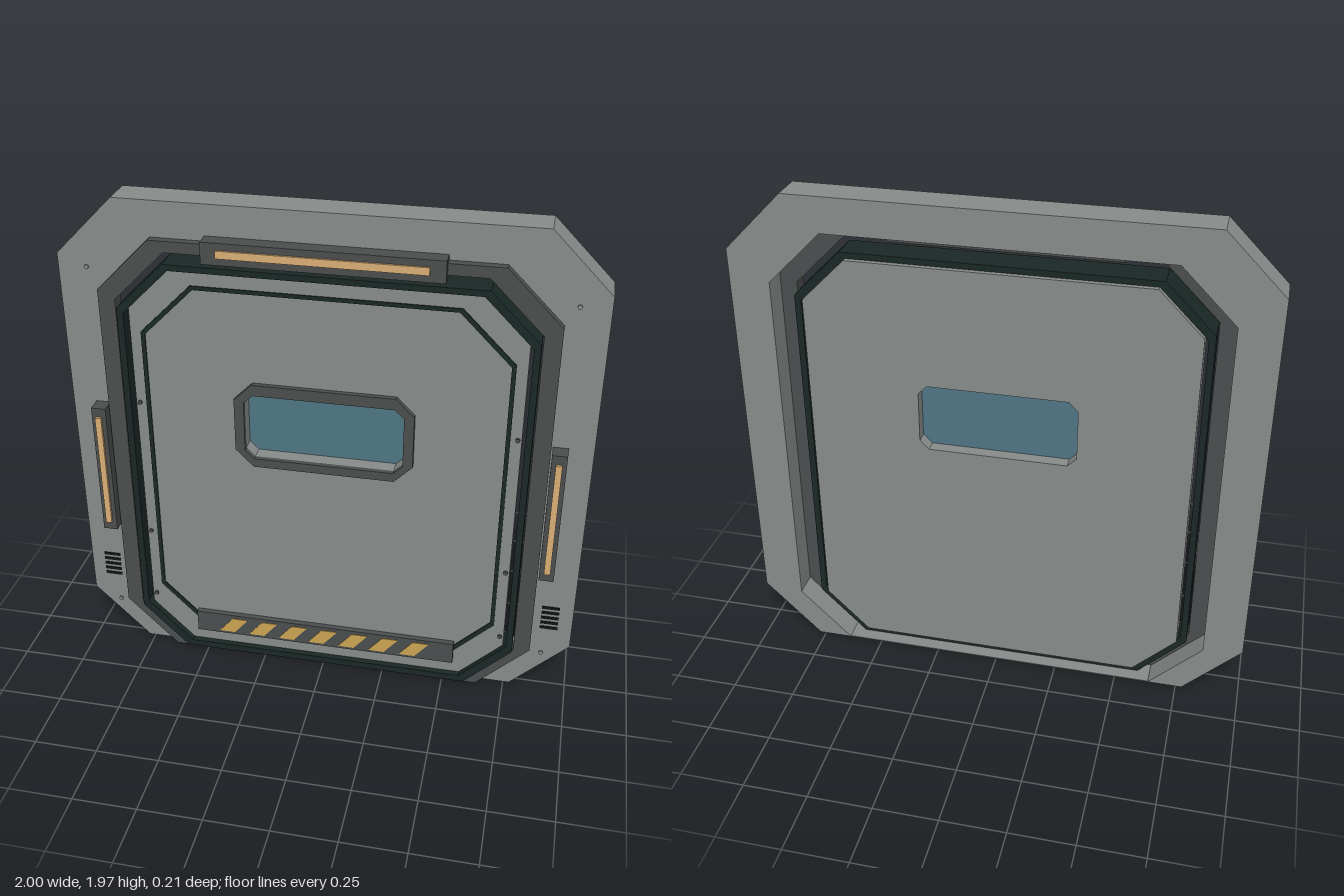
import * as THREE from 'three';

const mat = (name, color) => {
  const m = new THREE.MeshStandardMaterial({ color });
  m.name = name;
  return m;
};

// Octagon with chamfered corners, counter-clockwise seen from the front
const oct = (w, bottom, top, cut) => [
  [w, bottom + cut], [w, top - cut], [w - cut, top], [cut - w, top],
  [-w, top - cut], [-w, bottom + cut], [cut - w, bottom], [w - cut, bottom],
];
const at = (pts, z) => pts.map(([x, y]) => [x, y, z]);
const vec = pts => pts.map(([x, y]) => new THREE.Vector2(x, y));

// Flat-faced skin through a sequence of rings
function loft(rings) {
  const pos = [];
  for (let r = 0; r + 1 < rings.length; r++) {
    const a = rings[r], b = rings[r + 1];
    for (let i = 0; i < a.length; i++) {
      const j = (i + 1) % a.length;
      pos.push(...a[i], ...a[j], ...b[j], ...a[i], ...b[j], ...b[i]);
    }
  }
  const g = new THREE.BufferGeometry();
  g.setAttribute('position', new THREE.Float32BufferAttribute(pos, 3));
  g.computeVertexNormals();
  return g;
}

// Extruded plate between two depths, with an optional hole
function plate(outline, z0, z1, hole) {
  const s = new THREE.Shape(vec(outline));
  if (hole) s.holes.push(new THREE.Path(vec(hole)));
  return new THREE.ExtrudeGeometry(s, { depth: z1 - z0, bevelEnabled: false }).translate(0, 0, z0);
}

// Arch open at the floor: octagon ring without its bottom side
const arch = (outer, inner) => {
  const order = p => [7, 0, 1, 2, 3, 4, 5, 6].map(i => p[i]);
  return [...order(outer), ...order(inner).reverse()];
};

function box(x0, x1, y0, y1, z0, z1) {
  return new THREE.BoxGeometry(x1 - x0, y1 - y0, z1 - z0)
    .translate((x0 + x1) / 2, (y0 + y1) / 2, (z0 + z1) / 2);
}

export function createModel() {
  const model = new THREE.Group();
  model.name = 'bulkheadDoor';
  const grey = mat('panel grey', 0x888d8b);
  const dark = mat('dark grey metal', 0x4c4f4f);
  const rubber = mat('rubber seal', 0x1a2826);
  const glass = mat('window glass', 0x4f7785);
  const amber = mat('lamp amber', 0xdcb076);
  const yellow = mat('hazard yellow', 0xceA655);
  const black = mat('vent black', 0x121615);

  const add = (name, geometry, material) => {
    const m = new THREE.Mesh(geometry, material);
    m.name = name;
    model.add(m);
    return m;
  };

  // Surrounding frame, floor sill and dark inner trim
  const frameOut = oct(1, 0, 1.965, 0.225);
  const trimOut = oct(0.845, 0, 1.828, 0.207);
  const trimIn = oct(0.78, 0, 1.785, 0.198);
  add('frame', plate(arch(frameOut, trimOut), -0.103, 0.03), grey);
  add('floorSill', box(-0.638, 0.638, 0, 0.004, -0.103, 0.03), grey);
  add('frameTrim', plate(arch(trimOut, trimIn), 0, 0.062), dark);

  // Door seal
  add('doorSeal', plate(oct(0.775, 0.005, 1.743, 0.187), -0.05, 0.07,
    oct(0.75, 0.033, 1.72, 0.182)), rubber);

  // Door leaf: a thick slab with a straight window opening
  const rim = oct(0.305, 0.97, 1.243, 0.035);
  const surround = oct(0.343, 0.934, 1.288, 0.07);
  const edge = oct(0.737, 0.033, 1.72, 0.17);
  add('doorLeaf', loft([
    at(rim, -0.01), at(rim, -0.07), at(edge, -0.07),
    at(edge, 0.045), at(rim, 0.045), at(rim, -0.02),
  ]), grey);
  add('doorGroove', plate(oct(0.695, 0.1, 1.66, 0.2), 0.043, 0.05,
    oct(0.679, 0.116, 1.645, 0.194)), rubber);

  // Window
  add('windowGlass', plate(rim, -0.02, -0.01), glass);
  add('windowSurround', plate(surround, 0.043, 0.065, rim), dark);

  // Hazard bar with slanted stripes
  add('hazardBar', box(-0.54, 0.54, 0.094, 0.19, 0.04, 0.068), dark);
  for (let i = 0; i < 7; i++) {
    const x = -0.444 + i * 0.127;
    add('hazardStripe', plate([[x, 0.106], [x + 0.065, 0.106],
      [x + 0.122, 0.175], [x + 0.057, 0.175]], 0.067, 0.071), yellow);
  }

  // Lamp above the door
  add('topLampHousing', box(-0.435, 0.435, 1.765, 1.848, 0.03, 0.092), dark);
  add('topLamp', box(-0.378, 0.378, 1.793, 1.822, 0.09, 0.1), amber);

  for (const s of [-1, 1]) {
    const side = s < 0 ? 'right' : 'left';
    const span = (a, b) => (s < 0 ? [-b, -a] : [a, b]);

    // Side lamps
    add(side + 'LampHousing', box(...span(0.85, 0.907), 0.579, 1.136, 0.03, 0.092), dark);
    add(side + 'Lamp', box(...span(0.867, 0.891), 0.616, 1.099, 0.09, 0.103), amber);

    // Vent slots
    for (let i = 0; i < 5; i++) {
      const y = 0.309 + i * 0.0243;
      add(side + 'VentSlot', box(...span(0.875, 0.945), y - 0.006, y + 0.006, 0.028, 0.033), black);
    }

    // Bolts on the frame and the door edge
    const bolt = (name, x, y, z, m) => add(name,
      new THREE.CylinderGeometry(0.009, 0.009, 0.008, 8).rotateX(Math.PI / 2)
        .translate(s * x, y, z), m);
    for (const y of [0.18, 1.695]) bolt('frameBolt', 0.89, y, 0.032, grey);
    for (const y of [0.246, 0.562, 1.158]) bolt('doorBolt', 0.722, y, 0.048, dark);
  }
  return model;
}
